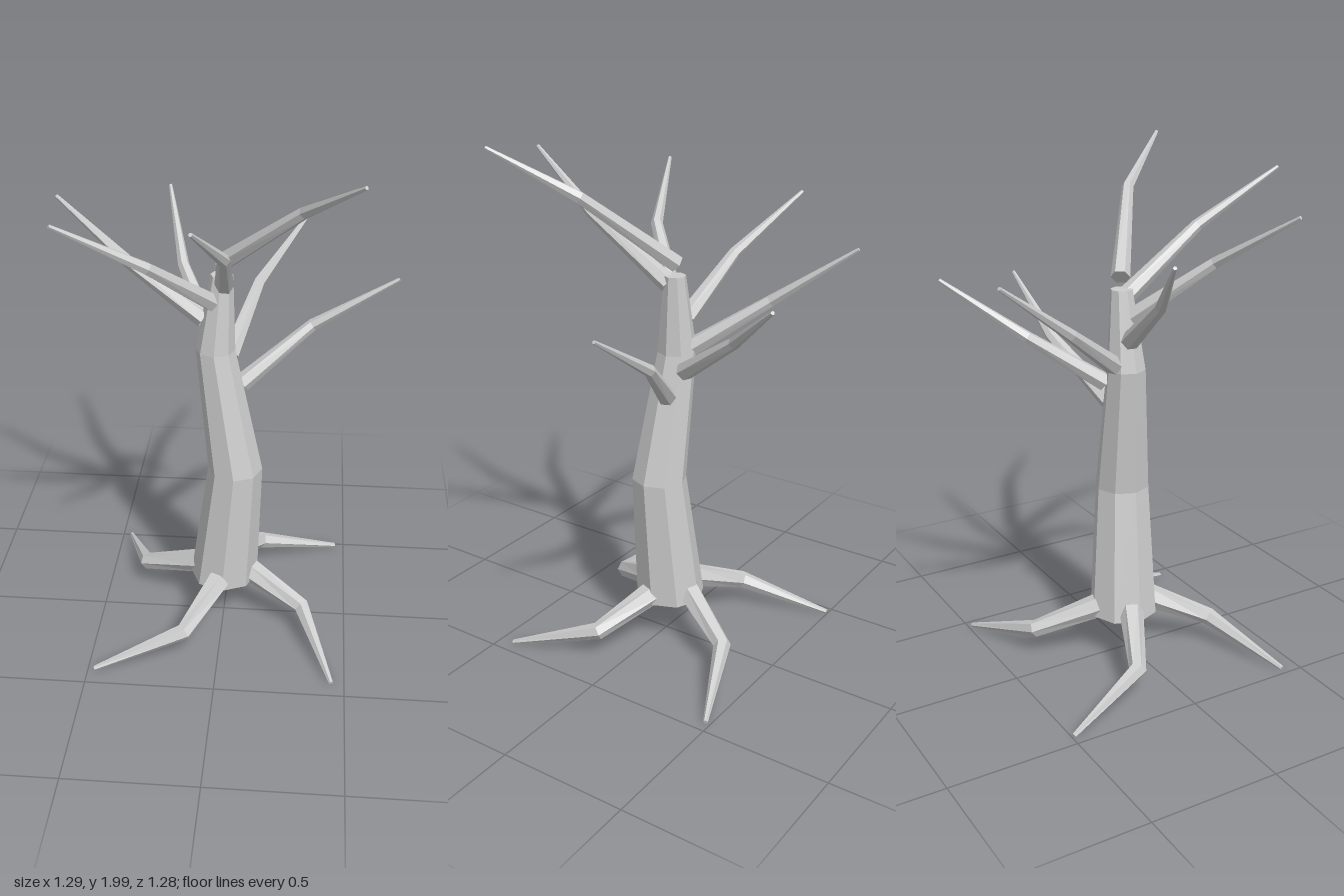
import * as THREE from 'three';

// Closed, tapered tube through [x, y, z, radius] stations; level keeps every ring horizontal
function limb(stations, sides, level = false) {
  const pts = stations.map(s => new THREE.Vector3(s[0], s[1], s[2]));
  const pos = [], index = [], last = pts.length - 1;
  pts.forEach((p, i) => {
    const dir = new THREE.Vector3(0, 1, 0);
    if (!level) {
      dir.set(0, 0, 0);
      if (i > 0) dir.add(p.clone().sub(pts[i - 1]).normalize());
      if (i < last) dir.add(pts[i + 1].clone().sub(p).normalize());
      dir.normalize();
    }
    // Ring frame: u is horizontal, v completes it
    const u = level ? new THREE.Vector3(1, 0, 0)
      : new THREE.Vector3(0, 1, 0).cross(dir).normalize();
    const v = dir.clone().cross(u);
    for (let k = 0; k < sides; k++) {
      const a = (k / sides) * Math.PI * 2;
      const q = p.clone()
        .addScaledVector(u, Math.cos(a) * stations[i][3])
        .addScaledVector(v, Math.sin(a) * stations[i][3]);
      pos.push(q.x, q.y, q.z);
    }
  });
  for (let i = 0; i < last; i++) {
    for (let k = 0; k < sides; k++) {
      const a = i * sides + k, b = i * sides + (k + 1) % sides;
      index.push(a, b, b + sides, a, b + sides, a + sides);
    }
  }
  // End caps
  const top = last * sides;
  for (let k = 1; k < sides - 1; k++) {
    index.push(0, k + 1, k, top, top + k, top + k + 1);
  }
  const geo = new THREE.BufferGeometry();
  geo.setAttribute('position', new THREE.Float32BufferAttribute(pos, 3));
  geo.setIndex(index);
  geo.computeVertexNormals();
  return geo;
}

export function createModel() {
  const tree = new THREE.Group();
  tree.name = 'bareTree';
  const bark = new THREE.MeshStandardMaterial({ color: 0xcccccc, flatShading: true });
  bark.name = 'bark';
  const add = (name, geo) => {
    const mesh = new THREE.Mesh(geo, bark);
    mesh.name = name;
    tree.add(mesh);
  };

  // Crooked trunk
  add('trunk', limb([
    [0, 0.18, -0.02, 0.135],
    [0.045, 0.7, 0.003, 0.106],
    [-0.034, 1.2, -0.025, 0.075],
    [-0.01, 1.5, -0.03, 0.042],
  ], 8, true));

  // Branches: start, bend, tip
  const branches = [
    [[-0.01, 1.545, -0.035], [0.285, 1.815, 0.17], [0.478, 1.99, 0.42]],
    [[0, 1.465, -0.01], [0.025, 1.695, 0.32], [-0.05, 1.9, 0.632]],
    [[-0.04, 1.395, -0.01], [-0.25, 1.615, 0.215], [-0.547, 1.81, 0.355]],
    [[-0.08, 1.32, -0.035], [-0.355, 1.515, -0.075], [-0.642, 1.72, -0.207]],
    [[-0.05, 1.225, -0.085], [-0.185, 1.41, -0.335], [-0.268, 1.63, -0.637]],
    [[0.015, 1.145, -0.09], [0.11, 1.335, -0.36], [0.3, 1.54, -0.615]],
    [[0.065, 1.05, -0.045], [0.325, 1.255, -0.15], [0.642, 1.45, -0.156]],
  ];
  branches.forEach(([a, b, c], i) => add('branch' + (i + 1), limb(
    [[...a, 0.036], [...b, 0.023], [...c, 0.007]], 6)));

  // Roots: start, bend, tip
  const roots = [
    [[0.1, 0.215, 0], [0.325, 0.115, 0.105], [0.45, 0.012, 0.437]],
    [[-0.015, 0.215, 0.09], [-0.135, 0.115, 0.305], [-0.475, 0.012, 0.427]],
    [[-0.1, 0.215, -0.04], [-0.34, 0.115, -0.155], [-0.462, 0.012, -0.495]],
    [[0.015, 0.215, -0.12], [0.135, 0.115, -0.35], [0.46, 0.012, -0.483]],
  ];
  roots.forEach(([a, b, c], i) => add('root' + (i + 1), limb(
    [[...a, 0.048], [...b, 0.034], [...c, 0.009]], 6)));

  return tree;
}
